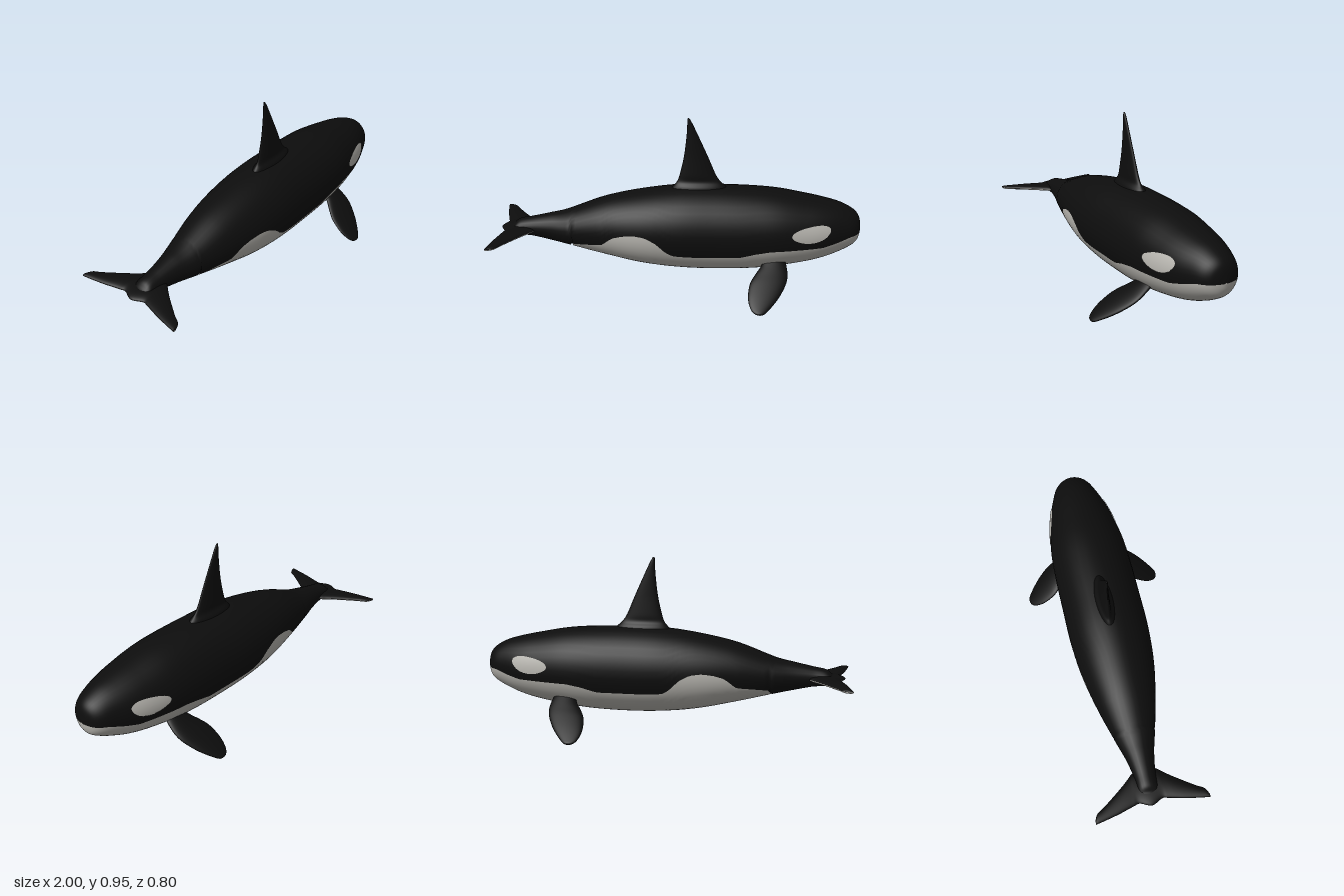
import * as THREE from 'three';

const V = (x, y, z) => new THREE.Vector3(x, y, z);
const HALF = 22; // segments on the upper and on the lower half of every ring

// Smoothly resample a table of rows to n + 1 rows
function smooth(rows, n) {
  const cols = rows[0].map((_, c) => new THREE.SplineCurve(rows.map((r, i) => new THREE.Vector2(i, r[c]))));
  return Array.from({ length: n + 1 }, (_, i) => cols.map((c) => c.getPoint(i / n).y));
}

// Piecewise linear lookup of a row by its first column
function lookup(rows, x) {
  let i = 0;
  while (i < rows.length - 2 && rows[i + 1][0] < x) i++;
  const a = rows[i], b = rows[i + 1];
  const t = THREE.MathUtils.clamp((x - a[0]) / (b[0] - a[0]), 0, 1);
  return a.map((v, c) => v + (b[c] - v) * t);
}

// Elliptical ring, split into upper and lower halves at the angle a
function ring(c, u, v, a = 0) {
  return Array.from({ length: HALF * 2 }, (_, i) => {
    const t = i < HALF
      ? a + (Math.PI - 2 * a) * (i / HALF)
      : Math.PI - a + (Math.PI + 2 * a) * ((i - HALF) / HALF);
    return c.clone().addScaledVector(u, Math.cos(t)).addScaledVector(v, Math.sin(t));
  });
}

// Skin a list of rings; group 0 is the upper half, group 1 the lower half
function loft(rings) {
  const n = HALF * 2, last = rings.length - 1, pts = rings.flat(), tris = [[], []];
  const middle = (r) => r.reduce((s, p) => s.add(p), V(0, 0, 0)).divideScalar(n);
  const c0 = pts.push(middle(rings[0])) - 1, c1 = pts.push(middle(rings[last])) - 1;
  for (let j = 0; j < n; j++) {
    const k = (j + 1) % n, out = tris[j < HALF ? 0 : 1];
    for (let i = 0; i < last; i++) {
      const a = i * n + j, b = i * n + k;
      out.push(a, b, b + n, a, b + n, a + n);
    }
    out.push(c0, k, j, c1, last * n + j, last * n + k);
  }
  // turn the faces outward
  const index = tris.flat();
  let volume = 0;
  for (let i = 0; i < index.length; i += 3) {
    volume += pts[index[i]].dot(pts[index[i + 1]].clone().cross(pts[index[i + 2]]));
  }
  if (volume < 0) {
    for (let i = 0; i < index.length; i += 3) [index[i], index[i + 1]] = [index[i + 1], index[i]];
  }
  const g = new THREE.BufferGeometry().setFromPoints(pts);
  g.setIndex(index);
  g.addGroup(0, tris[0].length, 0);
  g.addGroup(tris[0].length, tris[1].length, 1);
  g.computeVertexNormals();
  return g;
}

export function createModel() {
  const group = new THREE.Group();
  const black = new THREE.MeshStandardMaterial({ color: 0x0d0d0d });
  black.name = 'black skin';
  const white = new THREE.MeshStandardMaterial({ color: 0xb8b6b0 });
  white.name = 'pale skin';
  const add = (name, geometry, material, mirror = false) => {
    const mesh = new THREE.Mesh(geometry, material);
    mesh.name = name;
    if (mirror) mesh.scale.z = -1;
    group.add(mesh);
  };

  // Body profile: x, top, bottom, half width
  const stations = smooth([
    [-0.94, 0.334, 0.316, 0.03], [-0.905, 0.345, 0.302, 0.05], [-0.87, 0.37, 0.283, 0.056],
    [-0.8, 0.384, 0.275, 0.06], [-0.7, 0.405, 0.253, 0.08], [-0.6, 0.428, 0.23, 0.11],
    [-0.4, 0.5, 0.18, 0.165], [-0.2, 0.543, 0.135, 0.205], [0, 0.568, 0.11, 0.222],
    [0.2, 0.572, 0.102, 0.223], [0.4, 0.566, 0.108, 0.222], [0.55, 0.553, 0.125, 0.214],
    [0.7, 0.526, 0.15, 0.19], [0.8, 0.505, 0.175, 0.165], [0.88, 0.483, 0.205, 0.135],
    [0.94, 0.455, 0.235, 0.108], [0.975, 0.428, 0.26, 0.078], [0.993, 0.395, 0.293, 0.042],
    [1, 0.35, 0.325, 0.01],
  ], 160);

  // Height of the line between dark back and pale belly
  const colourLine = [
    [-1, 0], [-0.595, 0], [-0.585, 0.262], [-0.5, 0.273], [-0.41, 0.283], [-0.35, 0.335], [-0.29, 0.353],
    [-0.23, 0.36], [-0.17, 0.353], [-0.11, 0.32], [-0.06, 0.268], [-0.02, 0.246], [0.06, 0.24],
    [0.33, 0.24], [0.42, 0.266], [0.5, 0.28], [0.78, 0.286], [0.86, 0.305], [0.93, 0.326], [1, 0.33],
  ];
  add('body', loft(stations.map(([x, top, bottom, w]) => {
    const cy = (top + bottom) / 2, ry = (top - bottom) / 2;
    const s = THREE.MathUtils.clamp((lookup(colourLine, x)[1] - cy) / ry, -1, 1);
    return ring(V(x, cy, 0), V(0, 0, w), V(0, ry, 0), Math.asin(s));
  })), [black, white]);

  // Dorsal fin: y, rear x, front x, half thickness
  add('dorsalFin', loft(smooth([
    [0.53, -0.06, 0.3, 0.055], [0.572, -0.025, 0.262, 0.045], [0.6, -0.002, 0.232, 0.026],
    [0.64, 0.012, 0.205, 0.023], [0.74, 0.034, 0.162, 0.016], [0.85, 0.047, 0.112, 0.011],
    [0.92, 0.051, 0.079, 0.008], [0.95, 0.052, 0.062, 0.004],
  ], 40).map(([y, b, f, h]) => ring(V((b + f) / 2, y, 0), V((f - b) / 2, 0, 0), V(0, 0, h)))), black);

  // Tail flukes, dark above and pale below: z, rear x, front x, half thickness
  const flukeHalf = [
    [0.06, -0.948, -0.785, 0.019], [0.09, -0.953, -0.808, 0.018], [0.13, -0.963, -0.84, 0.017],
    [0.18, -0.976, -0.876, 0.015], [0.25, -0.99, -0.924, 0.012], [0.29, -0.997, -0.948, 0.01],
    [0.308, -1, -0.982, 0.006],
  ];
  const flukeRows = [
    ...flukeHalf.map(([z, ...r]) => [-z, ...r]).reverse(), [0, -0.972, -0.77, 0.02], ...flukeHalf,
  ];
  add('tailFlukes', loft(smooth(flukeRows, 70).map(([z, b, f, h]) =>
    ring(V((b + f) / 2, 0.324, z), V((f - b) / 2, 0, 0), V(0, h, 0)))), [black, white]);

  // Flippers, sloping down and out: z, rear x, front x, half thickness
  const flipper = loft(smooth([
    [0.13, 0.47, 0.585, 0.02], [0.17, 0.45, 0.592, 0.02], [0.21, 0.418, 0.594, 0.02],
    [0.25, 0.392, 0.583, 0.02], [0.3, 0.38, 0.553, 0.018], [0.34, 0.381, 0.52, 0.015],
    [0.375, 0.394, 0.484, 0.011], [0.392, 0.413, 0.462, 0.008], [0.397, 0.432, 0.446, 0.004],
  ], 40).map(([z, b, f, h]) =>
    ring(V((b + f) / 2, 0.175 - 0.73 * (z - 0.165), z), V((f - b) / 2, 0, 0), V(0, h * 0.81, h * 0.59))));

  // Pale eye patch laid on the side of the head
  const patch = new THREE.RingGeometry(0, 1, 48, 8);
  const p = patch.attributes.position;
  for (let i = 0; i < p.count; i++) {
    const u = p.getX(i), v = p.getY(i);
    const wobble = 1 + 0.06 * Math.sin(3 * Math.atan2(v, u) - 0.6);
    const x = 0.715 + 0.104 * u * wobble;
    const y = 0.371 + (0.045 * v + 0.008 * u) * wobble;
    const [, top, bottom, w] = lookup(stations, x);
    const k = (y - (top + bottom) / 2) / ((top - bottom) / 2);
    p.setXYZ(i, x, y, w * Math.sqrt(1 - k * k) + 0.004);
  }
  patch.computeVertexNormals();

  for (const [side, mirror] of [['right', false], ['left', true]]) {
    add(side + 'Flipper', flipper, black, mirror);
    add(side + 'EyePatch', patch, white, mirror);
  }
  return group;
}
